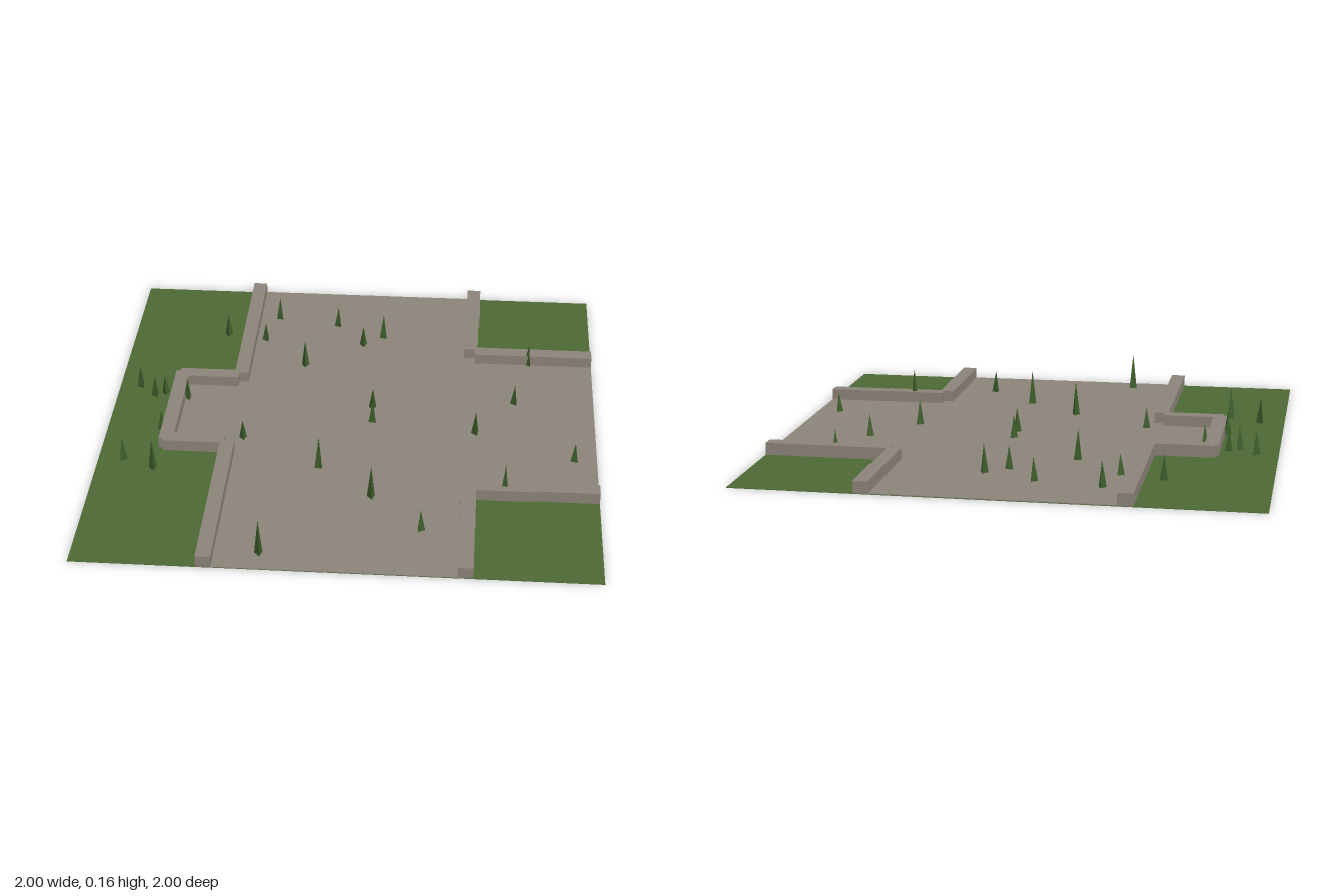
import * as THREE from 'three';

const grass = new THREE.MeshStandardMaterial({ name: 'grassGreen', color: 0x4d6a34 });
const stone = new THREE.MeshStandardMaterial({ name: 'stoneGrey', color: 0x8c8479 });
const leaf = new THREE.MeshStandardMaterial({ name: 'leafGreen', color: 0x3c5c2a });
leaf.flatShading = true;

// Box given by its x, y and z extents
function slab(name, material, [x0, x1], [y0, y1], [z0, z1]) {
  const mesh = new THREE.Mesh(new THREE.BoxGeometry(x1 - x0, y1 - y0, z1 - z0), material);
  mesh.position.set((x0 + x1) / 2, (y0 + y1) / 2, (z0 + z1) / 2);
  mesh.name = name;
  return mesh;
}

export function createModel() {
  const model = new THREE.Group();
  model.name = 'villageClearing';

  // Lawn with the paved crossing lying on it
  model.add(slab('lawn', grass, [-1, 1], [0, 0.002], [-1, 1]));
  const paving = new THREE.Group();
  paving.name = 'paving';
  const layer = [0.002, 0.005];
  paving.add(
    slab('mainPaving', stone, [-0.5, 0.5], layer, [-1, 1]),
    slab('sidePaving', stone, [0.5, 1], layer, [-0.5, 0.5]),
    slab('bayPaving', stone, [-0.75, -0.5], layer, [-0.25, 0.25]),
  );
  model.add(paving);

  // Low kerb walls in quarter-length blocks: [axis, wall centre, starts along axis]
  const walls = new THREE.Group();
  walls.name = 'kerbWalls';
  const height = [0.001, 0.05];
  const runs = [
    ['z', -0.489, [-1, -0.75, -0.5, 0.25, 0.5, 0.75]],
    ['z', -0.739, [-0.25, 0]],
    ['x', -0.241, [-0.75]],
    ['x', 0.239, [-0.75]],
    ['z', 0.487, [-1, 0.75]],
    ['z', 0.481, [-0.75]],
    ['z', 0.489, [0.5]],
    ['x', -0.489, [0.5, 0.75]],
    ['x', 0.488, [0.5]],
    ['x', 0.482, [0.75]],
  ];
  for (const [axis, centre, starts] of runs) {
    for (const start of starts) {
      const across = [centre - 0.029, centre + 0.029];
      const along = [start, start + 0.25];
      walls.add(axis === 'z'
        ? slab('kerbBlock', stone, across, height, along)
        : slab('kerbBlock', stone, along, height, across));
    }
  }
  model.add(walls);

  // Three-sided spiky plants: x, z, height, turn
  const plants = new THREE.Group();
  plants.name = 'plants';
  const spots = [
    [-0.375, -0.775, 0.11, 0.8], [-0.11, -0.73, 0.1, 0.7], [0.095, -0.645, 0.12, 0.9],
    [0.01, -0.575, 0.1, 0.1], [-0.59, -0.625, 0.105, 0], [-0.42, -0.59, 0.09, 0.5],
    [-0.23, -0.395, 0.13, 0], [-0.91, -0.19, 0.105, 0.6], [-0.84, -0.125, 0.1, 0.6],
    [-0.8, -0.145, 0.09, 0], [-0.7, -0.11, 0.1, 0.4], [0.08, -0.09, 0.1, 0.2],
    [0.085, 0.01, 0.11, 0.9], [0.67, -0.16, 0.095, 0.5], [0.73, -0.465, 0.105, 0.5],
    [0.51, 0.07, 0.11, 0.3], [0.91, 0.235, 0.09, 0.8], [-0.435, 0.165, 0.09, 0.2],
    [-0.775, 0.12, 0.095, 0.8], [-0.11, 0.345, 0.15, 0.9], [-0.9, 0.34, 0.11, 1.5],
    [-0.77, 0.395, 0.14, 0.3], [0.11, 0.53, 0.15, 0.2], [0.31, 0.725, 0.1, 1.6],
    [-0.29, 0.91, 0.16, 0.2], [0.63, 0.48, 0.15, 1],
  ];
  for (const [x, z, h, turn] of spots) {
    const plant = new THREE.Mesh(new THREE.ConeGeometry(0.019, h, 3), leaf);
    plant.position.set(x, h / 2, z);
    plant.rotation.y = turn;
    plant.name = 'plant';
    plants.add(plant);
  }
  model.add(plants);
  return model;
}
